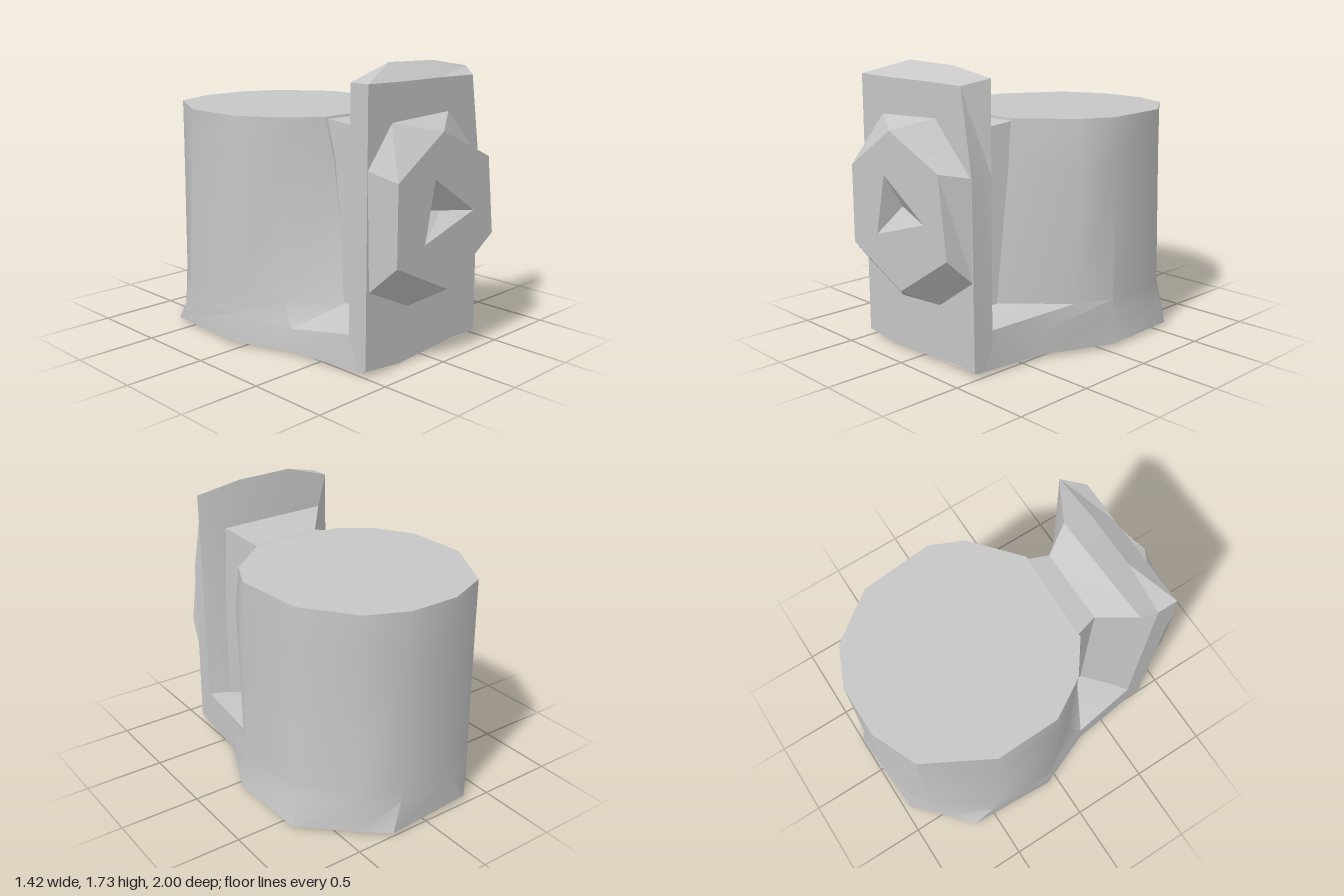
import * as THREE from 'three';
import { toCreasedNormals } from 'three/addons/utils/BufferGeometryUtils.js';

// Skins a list of rings (counter-clockwise as seen from beyond the last ring) and caps both ends.
function loft(rings, crease) {
  const pos = [];
  const tri = (a, b, c) => {
    const [p, q, r] = [a, b, c].map(v => new THREE.Vector3(...v));
    if (q.clone().sub(p).cross(r.clone().sub(p)).length() > 1e-6) pos.push(...a, ...b, ...c);
  };
  const n = rings[0].length;
  const centre = ring => [0, 1, 2].map(k => ring.reduce((s, p) => s + p[k], 0) / n);
  const first = rings[0], last = rings[rings.length - 1];
  const c0 = centre(first), c1 = centre(last);
  for (let i = 0; i < n; i++) {
    const j = (i + 1) % n;
    for (let r = 0; r < rings.length - 1; r++) {
      const a = rings[r], b = rings[r + 1];
      tri(a[i], a[j], b[j]);
      tri(a[i], b[j], b[i]);
    }
    tri(c0, first[j], first[i]);
    tri(c1, last[i], last[j]);
  }
  const g = new THREE.BufferGeometry();
  g.setAttribute('position', new THREE.Float32BufferAttribute(pos, 3));
  return toCreasedNormals(g, crease);
}

// Ring lying flat at height y (each point may carry its own height), given clockwise from above.
const flat = (pts, y) => pts.map(([x, z, h]) => [x, h ?? y, z]).reverse();
// Ring standing upright at depth z (each point may carry its own depth).
const upright = (pts, z) => pts.map(([x, y, d]) => [x, y, d ?? z]);

function makeBody() {
  // Six-sided hollow under the base, corners repeated to match the outline
  const A = [-0.23, -0.73], B = [0.33, -0.72], C = [0.5, -0.15];
  const D = [0.23, 0.16], E = [-0.31, 0.16], F = [-0.43, -0.38];
  const hollow = [A, B, B, B, C, C, D, E, E, F, F, A];
  const hollowTop = hollow.map(([x, z]) => [0.03 + (x - 0.03) * 0.85, -0.28 + (z + 0.28) * 0.85]);
  const foot = [[-0.34, -0.96], [0.25, -1], [0.4, -0.88], [0.69, -0.6], [0.71, -0.07], [0.53, 0.35],
    [0.475, 0.83], [-0.495, 0.83], [-0.56, 0.3], [-0.71, -0.07], [-0.68, -0.64], [-0.51, -0.8]];
  const ledge = [[-0.22, -0.975], [0.18, -0.975], [0.41, -0.87], [0.65, -0.58], [0.68, -0.09], [0.54, 0.35, 0.17],
    [0.475, 0.75, 0.25], [-0.495, 0.75, 0.23], [-0.55, 0.3, 0.16], [-0.7, -0.06], [-0.69, -0.52], [-0.48, -0.83]];
  const drumFoot = [[-0.19, -0.975], [0.17, -0.975], [0.4, -0.865], [0.64, -0.57], [0.675, -0.1], [0.57, 0.13],
    [0.24, 0.46], [-0.25, 0.46], [-0.52, 0.2], [-0.695, -0.05], [-0.685, -0.49], [-0.46, -0.845]];
  // Slight shoulder on the right side, below the rim
  const shoulder = [[-0.17, -0.97], [0.15, -0.97], [0.4, -0.86], [0.63, -0.56], [0.675, -0.1], [0.6, 0.11],
    [0.26, 0.39], [-0.29, 0.39], [-0.52, 0.19], [-0.675, -0.05], [-0.67, -0.46], [-0.45, -0.85]];
  const rim = [[-0.17, -0.97], [0.15, -0.97], [0.4, -0.86], [0.62, -0.56], [0.665, -0.1], [0.57, 0.11],
    [0.28, 0.36], [-0.32, 0.34], [-0.52, 0.19], [-0.66, -0.05], [-0.67, -0.45], [-0.45, -0.85]];
  return loft([
    flat(hollowTop, 0.19), flat(hollow, 0.02), flat(foot, 0.02),
    flat(ledge, 0.2), flat(drumFoot, 0.29), flat(shoulder, 1.15), flat(rim, 1.4),
  ], 0.65);
}

function makePlate() {
  // Neck out of the drum, flaring into a sloped frame and the upright slab
  const root = [[-0.31, 0.2], [-0.1, 0.2], [0.1, 0.2], [0.3, 0.2], [0.3, 0.9],
    [0.29, 1.395], [0.1, 1.395], [-0.1, 1.395], [-0.31, 1.395]];
  const neck = [[-0.25, 0.2], [-0.1, 0.2], [0.1, 0.2], [0.23, 0.2], [0.23, 0.9],
    [0.23, 1.36], [0.1, 1.36], [-0.1, 1.36], [-0.25, 1.36]];
  const frame = [[-0.42, 0.2, 0.66], [-0.2, 0.2, 0.65], [0.1, 0.2, 0.65], [0.37, 0.2, 0.64], [0.36, 0.9, 0.65],
    [0.33, 1.44, 0.66], [0.1, 1.44, 0.67], [-0.2, 1.44, 0.68], [-0.42, 1.44, 0.69]];
  const back = [[-0.5, 0.03], [-0.22, 0], [0.3, 0.03], [0.485, 0.02], [0.485, 1.14],
    [0.49, 1.67], [0.18, 1.72], [-0.2, 1.73], [-0.5, 1.64]];
  const front = [[-0.5, 0.04], [-0.22, 0.01], [0.3, 0.04], [0.48, 0.03], [0.47, 1.14],
    [0.39, 1.63], [0.1, 1.635], [-0.2, 1.635], [-0.5, 1.64]];
  return loft([
    upright(root, 0.3), upright(neck, 0.49), upright(frame), upright(back, 0.72), upright(front, 0.85),
  ], 0.25);
}

function makeDial() {
  // Bevelled boss with a three-cornered pit in its face
  const rim = [[-0.5, 1.18], [-0.31, 1.42], [0.18, 1.44], [0.47, 1.14], [0.47, 0.55], [0.19, 0.36], [-0.16, 0.34], [-0.48, 0.49]];
  const face = [[-0.42, 1.12], [-0.05, 1.36], [-0.05, 1.36], [0.37, 1.17], [0.43, 0.7], [0.02, 0.44], [0.02, 0.44], [-0.42, 0.65]];
  const spread = (a, b, c) => [a, a, a, b, b, b, c, c];
  const pit = spread([-0.11, 1.1], [0.24, 0.87], [-0.19, 0.74]);
  const pitFloor = spread([-0.1, 0.9], [0.07, 0.9, 0.9], [-0.1, 0.9]);
  const ring = (pts, z) => upright(pts, z).reverse();
  return loft([ring(rim, 0.845), ring(face, 1), ring(pit, 1), ring(pitFloor, 0.88)], 0.2);
}

export function createModel() {
  const group = new THREE.Group();
  const grey = new THREE.MeshStandardMaterial({ color: 0xc6c6c6 });
  grey.name = 'plain grey';
  const parts = { drumAndBase: makeBody(), frontPlate: makePlate(), frontDial: makeDial() };
  for (const [name, geometry] of Object.entries(parts)) {
    const mesh = new THREE.Mesh(geometry, grey);
    mesh.name = name;
    group.add(mesh);
  }
  return group;
}
